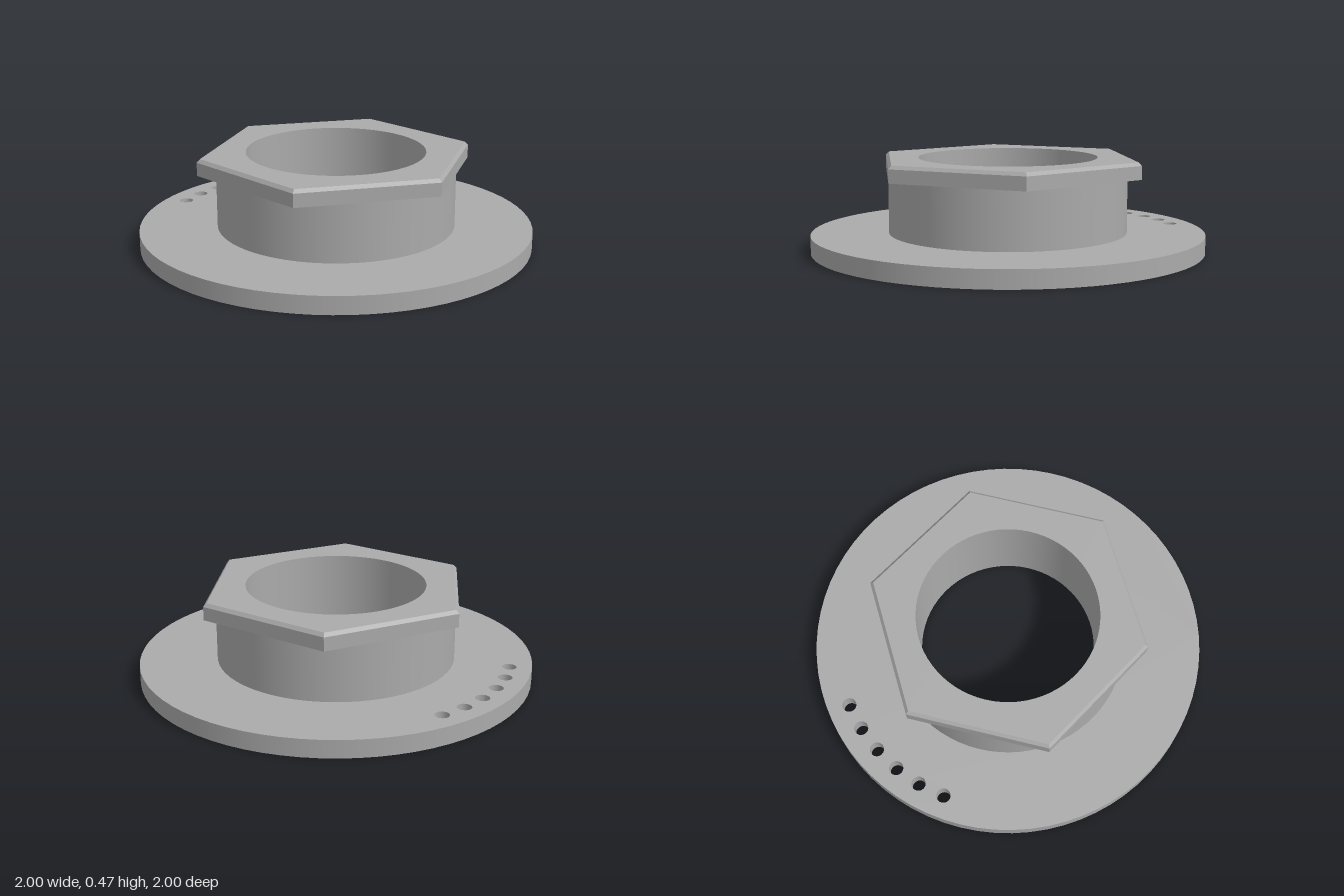
import * as THREE from 'three';

const BORE = 0.455, COLLAR = 0.607, HEX = 0.707, HEX_TOP = 0.69;
const FLANGE_Y = 0.09, HEX_Y = 0.385, CHAMFER_Y = 0.453, TOP_Y = 0.47;
const ROUND = 72, PIN = 24;

// Points of a regular polygon, starting at +x
const ring = (r, n, cx = 0, cy = 0) => Array.from({ length: n }, (_, i) => {
  const a = (i / n) * Math.PI * 2;
  return new THREE.Vector2(cx + r * Math.cos(a), cy + r * Math.sin(a));
});

// Open band around the y axis; inward bands face the axis
function band(r0, r1, y0, y1, sides, inward = false) {
  const profile = [new THREE.Vector2(r0, y0), new THREE.Vector2(r1, y1)];
  if (inward) profile.reverse();
  return new THREE.LatheGeometry(profile, sides, Math.PI / 2);
}

// Flat-sided band
function facetedBand(r0, r1, y0, y1, sides) {
  const geometry = band(r0, r1, y0, y1, sides).toNonIndexed();
  geometry.computeVertexNormals();
  return geometry;
}

// Horizontal plate with holes, facing up or down
function plate(outline, holes, y, up) {
  const shape = new THREE.Shape(outline);
  shape.holes = holes.map((points) => new THREE.Path(points));
  return new THREE.ShapeGeometry(shape).rotateX(up ? -Math.PI / 2 : Math.PI / 2).translate(0, y, 0);
}

export function createModel() {
  const steel = new THREE.MeshStandardMaterial({ color: 0xaaaaaa });
  steel.name = 'grey metal';
  const model = new THREE.Group();
  model.name = 'flangedHexBushing';

  const part = (name, pieces) => {
    const group = new THREE.Group();
    group.name = name;
    for (const [pieceName, geometry] of Object.entries(pieces)) {
      const mesh = new THREE.Mesh(geometry, steel);
      mesh.name = pieceName;
      group.add(mesh);
    }
    model.add(group);
  };

  // Six small holes on an arc along the right side of the flange
  const pins = [-22.5, -13.5, -4.5, 4.5, 13.5, 22.5].map((deg) => {
    const a = THREE.MathUtils.degToRad(180 + deg);
    return [0.888 * Math.cos(a), 0.888 * Math.sin(a)];
  });
  const pinOutlines = pins.map(([x, z]) => ring(0.036, PIN, x, z));
  const bore = ring(BORE, ROUND);

  // Round base flange
  part('flange', {
    flangeTop: plate(ring(1, ROUND), [ring(COLLAR, ROUND), ...pinOutlines], FLANGE_Y, true),
    flangeUnderside: plate(ring(1, ROUND), [bore, ...pinOutlines], 0, false),
    flangeRim: band(1, 1, 0, FLANGE_Y, ROUND),
  });

  part('pinHoles', Object.fromEntries(pins.map(([x, z], i) => [
    `pinHole${i + 1}`, band(0.036, 0.036, 0, FLANGE_Y, PIN, true).translate(x, 0, z),
  ])));

  // Cylindrical collar and the bore through the whole piece
  part('collar', {
    collarWall: band(COLLAR, COLLAR, FLANGE_Y, HEX_Y, ROUND),
    boreWall: band(BORE, BORE, 0, TOP_Y, ROUND, true),
  });

  // Hexagonal head with a chamfered top edge
  part('hexHead', {
    hexUnderside: plate(ring(HEX, 6), [ring(COLLAR, ROUND)], HEX_Y, false),
    hexSides: facetedBand(HEX, HEX, HEX_Y, CHAMFER_Y, 6),
    hexChamfer: facetedBand(HEX, HEX_TOP, CHAMFER_Y, TOP_Y, 6),
    hexTop: plate(ring(HEX_TOP, 6), [bore], TOP_Y, true),
  });

  return model;
}
